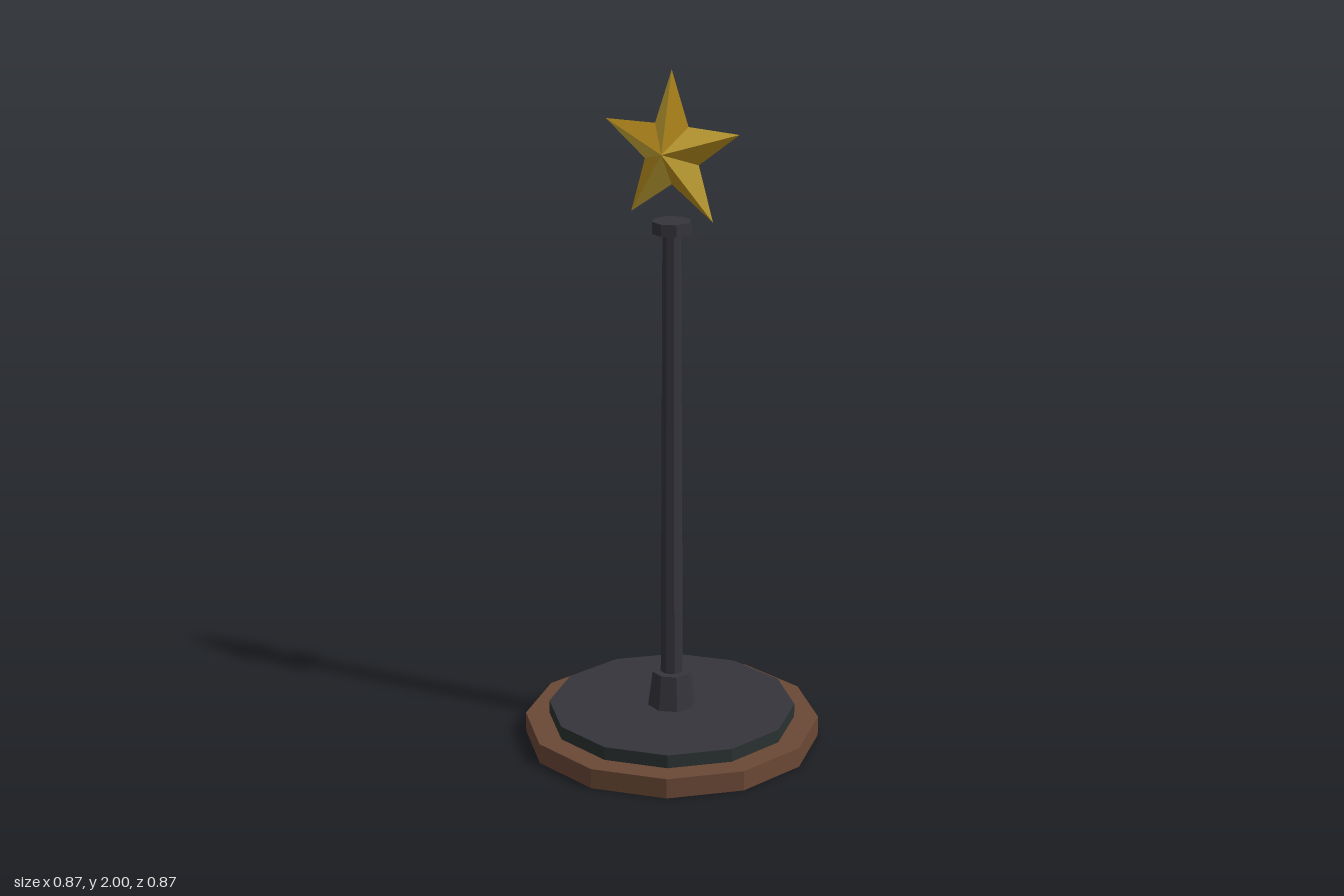
import * as THREE from 'three';

const mat = (name, color, extra = {}) => {
  const m = new THREE.MeshStandardMaterial({ color, flatShading: true, ...extra });
  m.name = name;
  return m;
};

// Facets of a faceted star: parity picks every second facet around the outline
function starFacets(parity, outer, inner, depth) {
  const rim = (i) => {
    const r = i % 2 ? inner : outer;
    const a = (i * Math.PI) / 5;
    return [r * Math.sin(a), r * Math.cos(a), 0];
  };
  const pos = [];
  for (let i = parity; i < 10; i += 2) {
    const a = rim(i), b = rim(i + 1);
    pos.push(0, 0, depth, ...b, ...a); // front facet
    pos.push(0, 0, -depth, ...a, ...b); // back facet
  }
  const g = new THREE.BufferGeometry();
  g.setAttribute('position', new THREE.Float32BufferAttribute(pos, 3));
  g.computeVertexNormals();
  return g;
}

export function createModel() {
  const group = new THREE.Group();
  const wood = mat('brown wood', 0x6b4835);
  const charcoal = mat('charcoal metal', 0x36353c);
  const edge = mat('dark green edge', 0x2b3231);
  const goldLight = mat('light gold', 0xd4b03a);
  const goldDeep = mat('deep gold', 0xbf921f);

  // Upright faceted cylinder between two heights
  const drum = (name, rTop, rBottom, y0, y1, sides, material) => {
    const mesh = new THREE.Mesh(new THREE.CylinderGeometry(rTop, rBottom, y1 - y0, sides), material);
    mesh.position.y = (y0 + y1) / 2;
    mesh.name = name;
    group.add(mesh);
  };

  // Stepped base
  drum('woodenBase', 0.436, 0.436, 0, 0.06, 12, wood);
  drum('basePlate', 0.365, 0.365, 0.06, 0.1, 12, [edge, charcoal, charcoal]);

  // Post with its socket and cap
  drum('postSocket', 0.058, 0.072, 0.1, 0.205, 8, charcoal);
  drum('post', 0.027, 0.034, 0.1, 1.54, 8, charcoal);
  drum('postCap', 0.057, 0.057, 1.538, 1.573, 8, charcoal);

  // Floating two-tone star
  const star = new THREE.Group();
  star.name = 'star';
  star.position.y = 1.77;
  [goldDeep, goldLight].forEach((material, parity) => {
    const mesh = new THREE.Mesh(starFacets(parity, 0.23, 0.093, 0.055), material);
    mesh.name = parity ? 'lightStarFacets' : 'deepStarFacets';
    star.add(mesh);
  });
  group.add(star);

  return group;
}
